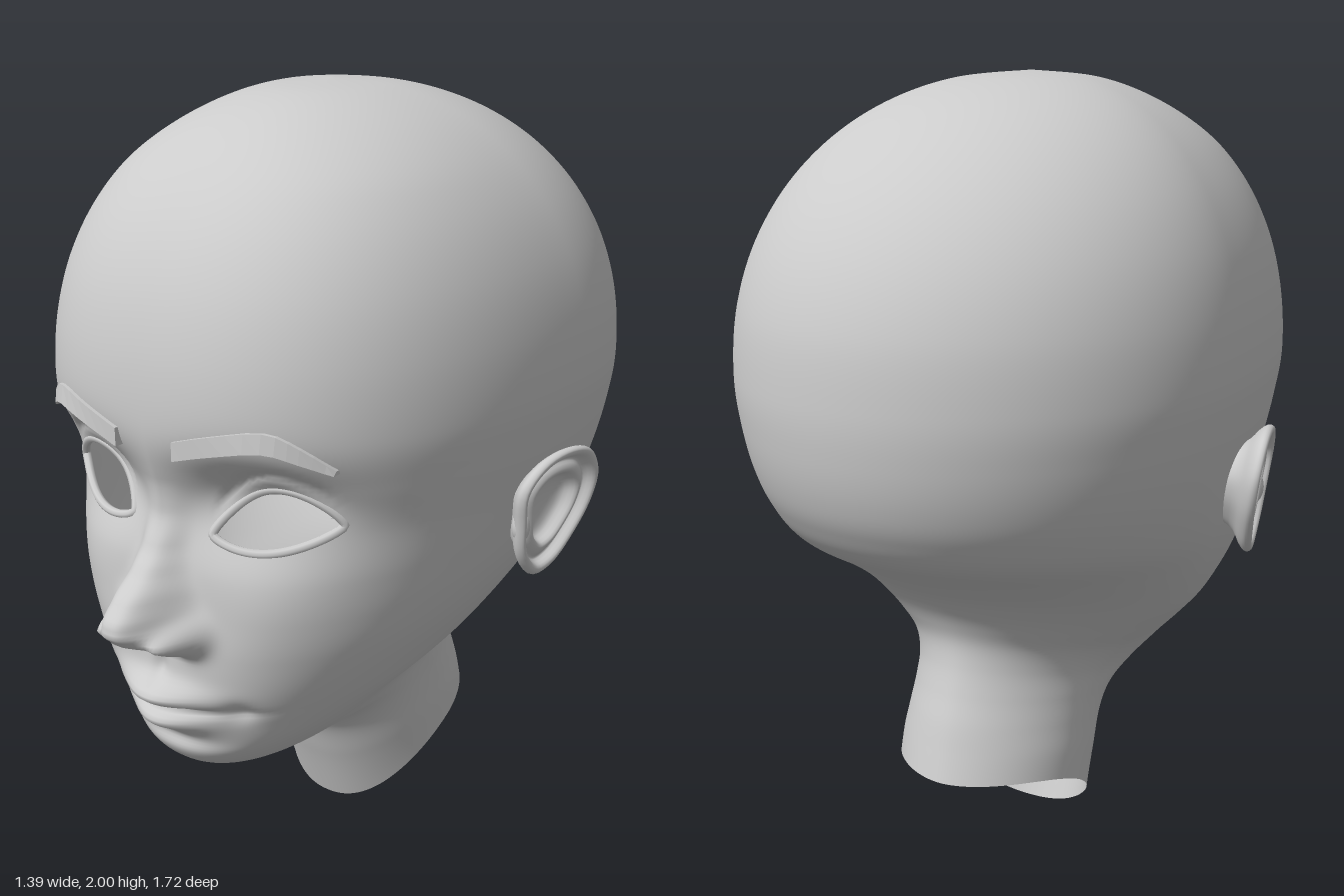
import * as THREE from 'three';

const { clamp, lerp, smoothstep } = THREE.MathUtils;
const material = (opts = {}) => new THREE.MeshStandardMaterial({ color: 0xcccccc, side: THREE.DoubleSide, ...opts });
const bell = (d, s) => Math.exp(-((d / s) ** 2));

// Smooth interpolation through the rows of a table, t in 0..1
function sampleRows(rows, t) {
  const f = t * (rows.length - 1), i = Math.min(Math.floor(f), rows.length - 2), k = f - i;
  const row = (n) => rows[clamp(n, 0, rows.length - 1)];
  const [a, b, c, d] = [row(i - 1), row(i), row(i + 1), row(i + 2)];
  return b.map((p, n) => p + 0.5 * k * (c[n] - a[n] + k * (2 * a[n] - 5 * p + 4 * c[n] - d[n]
    + k * (3 * (p - c[n]) + d[n] - a[n]))));
}

// Eased lookup in [position, value] pairs with falling positions
function lookup(pairs, y) {
  for (let i = 1; i < pairs.length; i++) {
    const [y0, v0] = pairs[i - 1], [y1, v1] = pairs[i], t = (y0 - y) / (y0 - y1);
    if (t >= 0 && t <= 1) return lerp(v0, v1, 0.4 * smoothstep(t, 0, 1) + 0.6 * t);
  }
  return 0;
}

// Skin through closed rings of points; faces rejected by keep() are left out
function loft(rings, keep = () => true) {
  const n = rings[0].length, index = [], pts = rings.flat();
  const add = (...tri) => { if (keep(tri.map((v) => pts[v]))) index.push(...tri); };
  for (let i = 0; i < rings.length - 1; i++) {
    for (let j = 0; j < n; j++) {
      const a = i * n + j, b = i * n + (j + 1) % n, c = a + n, d = b + n;
      add(a, c, b);
      add(b, c, d);
    }
  }
  const g = new THREE.BufferGeometry().setFromPoints(pts);
  g.setIndex(index);
  g.computeVertexNormals();
  return g;
}

// Ring rows: front y, front z, back y, back z, half width, z of widest point
// The crown is a dome; face, jaw and neck follow as a few tilted rings
const CROWN = Array.from({ length: 8 }, (_, i) => {
  const h = Math.sin((1 - i / 7) * Math.PI / 2), y = 1.3 + 0.7 * h;
  const dome = (p) => Math.max(1 - h ** p, 0) ** (1 / p);
  return [y, 0.715 * dome(2.2), y, -0.86 * dome(2.05), 0.638 * dome(2.2), -0.17 * dome(2)];
});
const RINGS = [
  ...CROWN,
  [1.18, 0.7, 1.18, -0.855, 0.622, -0.17],
  [1.06, 0.67, 1.08, -0.835, 0.6, -0.16],
  [0.94, 0.675, 1.0, -0.8, 0.577, -0.13],
  [0.84, 0.68, 0.92, -0.735, 0.55, -0.08],
  [0.74, 0.69, 0.84, -0.6, 0.512, -0.03],
  [0.64, 0.69, 0.77, -0.5, 0.465, 0],
  [0.54, 0.67, 0.71, -0.445, 0.41, 0.02],
  [0.45, 0.655, 0.66, -0.415, 0.345, 0],
  [0.385, 0.58, 0.61, -0.4, 0.285, -0.03],
  [0.355, 0.42, 0.55, -0.405, 0.25, -0.08],
  [0.345, 0.24, 0.48, -0.425, 0.24, -0.13],
  [0.29, 0.14, 0.41, -0.45, 0.24, -0.17],
  [0.16, 0.08, 0.34, -0.47, 0.244, -0.2],
  [0.0, 0.02, 0.27, -0.49, 0.245, -0.22],
];
const NOSE = [[1.16, 0], [1.08, 0.015], [1.0, 0.045], [0.95, 0.08], [0.9, 0.14], [0.86, 0.175],
  [0.83, 0.178], [0.8, 0.145], [0.775, 0.09], [0.755, 0.03], [0.73, 0]];

// Almond eye opening: lower and upper edge at |x|
const EYE = { inner: 0.12, outer: 0.405 };
function eyeEdges(ax) {
  const t = clamp((ax - EYE.inner) / (EYE.outer - EYE.inner), 0, 1);
  const arch = Math.max(Math.sin(Math.PI * t), 0) ** 0.7, mid = 1.04 + 0.05 * t;
  return { low: mid - 0.05 * arch, high: mid + 0.1 * arch, arch };
}
const inEye = (x, y) => {
  const { low, high, arch } = eyeEdges(Math.abs(x));
  return arch > 0.01 && y > low && y < high;
};

// Forward relief of the face at (x, y)
function faceRelief(x, y) {
  const ax = Math.abs(x), eye = eyeEdges(ax);
  const spot = (cx, cy, sx, sy, h) => h * bell(ax - cx, sx) * bell(y - cy, sy);
  const noseWidth = lerp(0.08, 0.052, smoothstep(y, 0.84, 1.02));
  let z = lookup(NOSE, y) * Math.exp(-((ax / noseWidth) ** 3));
  z += spot(0.098, 0.798, 0.036, 0.04, 0.095) + spot(0.05, 0.762, 0.02, 0.014, -0.03); // nostrils
  z += spot(0.24, 1.12, 0.17, 0.1, -0.115) + spot(0.27, 1.09, 0.13, 0.07, 0.045);     // sockets and lids
  z -= 0.015 * eye.arch * bell(y - eye.high - 0.045, 0.014);                          // lid crease
  z += spot(0.3, 0.86, 0.13, 0.12, 0.015);                                            // cheeks
  z += spot(0, 0.625, 0.12, 0.034, 0.062) + spot(0, 0.553, 0.105, 0.032, 0.055);      // lips
  z += spot(0, 0.592, 0.16, 0.011, -0.028) + spot(0.19, 0.595, 0.03, 0.03, -0.015);   // mouth line, corners
  z += spot(0, 0.69, 0.02, 0.035, -0.012) + spot(0, 0.49, 0.12, 0.025, -0.015);       // philtrum, chin fold
  return z;
}

function headRings(rows = 210, sides = 180) {
  return Array.from({ length: rows + 1 }, (_, i) => {
    const [yf, zf, yb, zb, w, zc] = sampleRows(RINGS, i / rows);
    // squarer around the temples, slimmer nape, curved cut towards the end of the neck
    const square = 2.2 + 0.3 * smoothstep(yf, 0.5, 1.2) - 0.4 * smoothstep(yf, 1.8, 2);
    const nape = 1.8 + 0.2 * smoothstep(yf, 0.5, 0.9);
    const cut = 2.6 - 1.6 * smoothstep(yf, 0, 0.38);
    return Array.from({ length: sides }, (_, j) => {
      const t = (j / sides) * Math.PI * 2, a = t - 0.6 * Math.sin(t);
      const c = Math.cos(a), s = Math.sin(a), e = c > 0 ? square : nape;
      const r = (Math.abs(c) ** e + Math.abs(s) ** e) ** (-1 / e);
      const x = w * s * r, z = zc + (c > 0 ? zf - zc : zc - zb) * c * r;
      const u = zf - zb > 1e-6 ? clamp((z - zb) / (zf - zb), 0, 1) : 0;
      const y = yb + (yf - yb) * u ** cut;
      return new THREE.Vector3(x, y, z + smoothstep(z, 0.15, 0.4) * faceRelief(x, y));
    });
  });
}

function ear(side) {
  const outline = [[0, 0.84], [0.06, 0.9], [0.085, 1.0], [0.095, 1.09], [0.04, 1.15], [-0.05, 1.17],
    [-0.13, 1.15], [-0.175, 1.08], [-0.165, 1.0], [-0.12, 0.92], [-0.06, 0.855]]
    .map(([z, y]) => new THREE.Vector3(0, y, z));
  if (side < 0) outline.reverse();
  const loop = new THREE.CatmullRomCurve3(outline, true).getPoints(48).slice(0, 48);
  // scale of the outline and height above the ear plane, from root over the rim into the bowl
  const profile = [[0.5, -0.12], [0.68, -0.05], [0.92, -0.018], [1, 0], [0.96, 0.014], [0.87, 0.012],
    [0.78, -0.01], [0.68, 0], [0.57, 0.002], [0.46, -0.025], [0.25, -0.035], [0, -0.037]];
  const rings = Array.from({ length: 37 }, (_, i) => {
    const [s, h] = sampleRows(profile, i / 36);
    return loop.map((p) => {
      const z = -0.03 + (p.z + 0.03) * s, y = 1.02 + (p.y - 1.02) * s;
      return new THREE.Vector3(side * (0.64 - 0.21 * (z + 0.04) + 0.14 * (y - 1) + h), y, z);
    });
  });
  return loft(rings);
}

export function createModel() {
  const model = new THREE.Group();
  const add = (name, geometry, mat, parent = model) => {
    const mesh = new THREE.Mesh(geometry, mat);
    mesh.name = name;
    parent.add(mesh);
    return mesh;
  };
  const smooth = material(), flat = material({ flatShading: true });

  // Head, face and neck in one skin with open eyes
  const rings = headRings();
  add('headAndNeck', loft(rings, ([a, b, c]) =>
    a.z < 0.2 || !inEye((a.x + b.x + c.x) / 3, (a.y + b.y + c.y) / 3)), smooth);

  // Depth of the face surface, averaged from nearby points
  const facePoints = rings.flat().filter((p) => p.z > 0.2 && p.y > 0.9 && p.y < 1.45);
  const faceZ = (x, y) => {
    let sum = 0, total = 1e-9;
    for (const p of facePoints) {
      const d = (p.x - x) ** 2 + (p.y - y) ** 2;
      if (d < 0.002) { const k = Math.exp(-d / 0.00015); sum += k * p.z; total += k; }
    }
    return sum / total;
  };

  for (const side of [1, -1]) {
    const name = side > 0 ? 'left' : 'right';

    // Eyelid rim around the opening
    const rim = Array.from({ length: 40 }, (_, i) => {
      const a = (i / 40) * Math.PI * 2;
      const ax = (EYE.inner + EYE.outer) / 2 - Math.cos(a) * (EYE.outer - EYE.inner) / 2;
      const { low, high } = eyeEdges(ax), y = i <= 20 ? high : low;
      return new THREE.Vector3(side * ax, y, faceZ(side * ax, y) - 0.006);
    });
    add(name + 'Eyelids', new THREE.TubeGeometry(new THREE.CatmullRomCurve3(rim, true), 90, 0.011, 8, true), smooth);

    // Eyebrow: x, bottom y, top y
    const browRows = [[0.085, 1.235, 1.28], [0.18, 1.262, 1.308], [0.3, 1.285, 1.33], [0.37, 1.262, 1.296], [0.425, 1.232, 1.242]];
    const brow = Array.from({ length: 13 }, (_, i) => {
      const [x, low, high] = sampleRows(browRows, i / 12);
      const ring = [[low, 0.024], [high, 0.01], [high, -0.03], [low, -0.03]]
        .map(([y, d]) => new THREE.Vector3(side * x, y, faceZ(side * x, y) + d));
      return side > 0 ? ring : ring.reverse();
    });
    const cap = (ring) => {
      const c = ring.reduce((s, p) => s.add(p), new THREE.Vector3()).divideScalar(4);
      return ring.map(() => c);
    };
    add(name + 'Eyebrow', loft([cap(brow[0]), ...brow, cap(brow[12])]), flat);

    // Ear with a small flap at its front
    const earGroup = new THREE.Group();
    earGroup.name = name + 'Ear';
    model.add(earGroup);
    add('earShell', ear(side), smooth, earGroup);
    const flap = add('earFlap', new THREE.SphereGeometry(1, 16, 12), smooth, earGroup);
    flap.scale.set(0.022, 0.04, 0.025);
    flap.position.set(side * 0.605, 0.985, 0.055);
  }
  return model;
}
